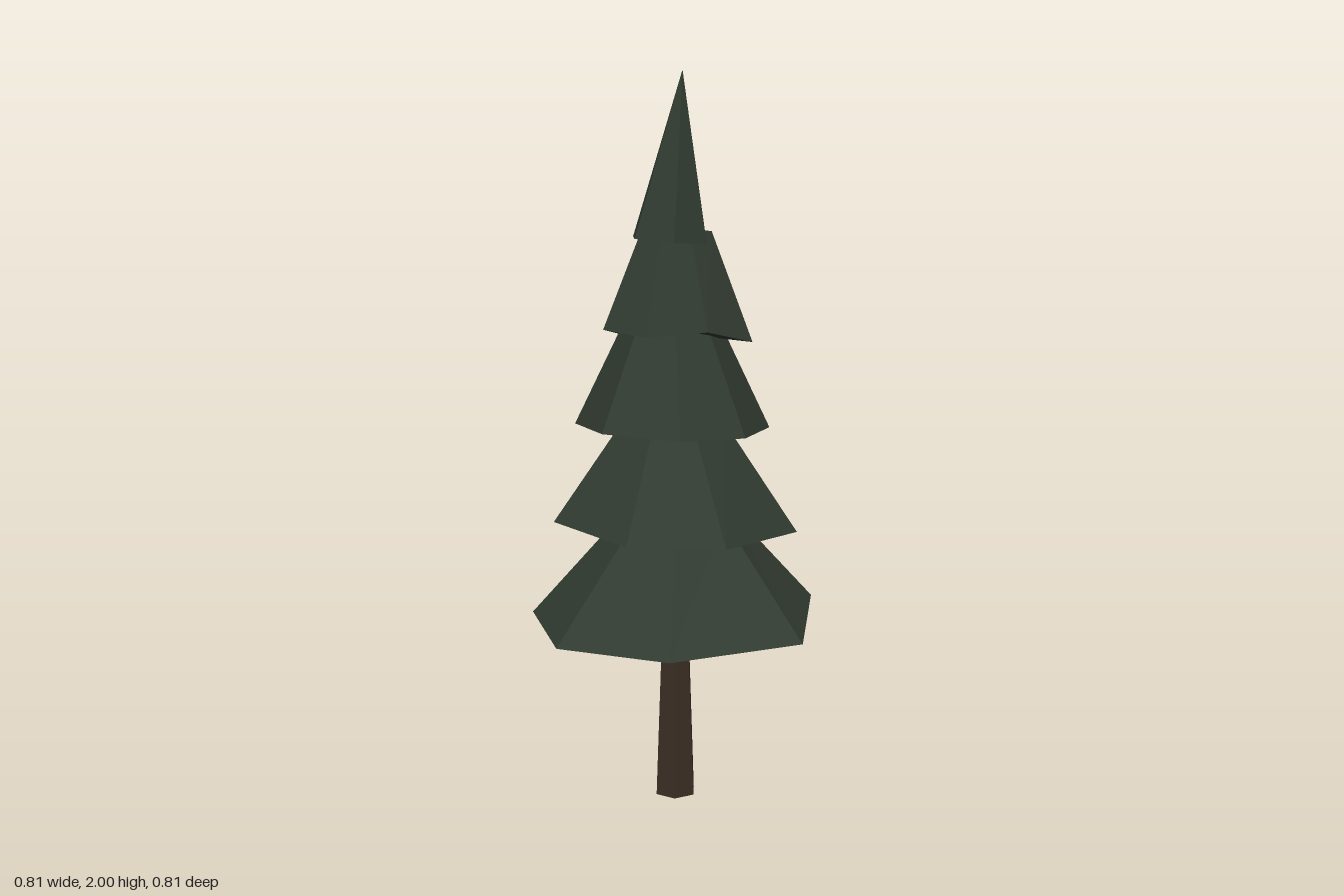
import * as THREE from 'three';

// Foliage tiers, bottom to top: seven hem corners [x, y, z] running clockwise from the back,
// and the crown they taper to: centre [x, y, z] and scale of the hem (0 = pointed tip).
const TIERS = [
  { hem: [[0, 0.515, -0.405], [0.33, 0.505, -0.25], [0.405, 0.54, 0.095], [0.18, 0.508, 0.40],
      [-0.20, 0.505, 0.37], [-0.405, 0.505, 0.125], [-0.33, 0.51, -0.215]],
    top: [0.02, 0.8, 0], scale: 0.38 },
  { hem: [[-0.14, 0.785, -0.28], [0.16, 0.785, -0.285], [0.325, 0.785, -0.05], [0.26, 0.77, 0.24],
      [-0.025, 0.775, 0.35], [-0.25, 0.78, 0.225], [-0.32, 0.795, -0.08]],
    top: [0, 1.06, 0.01], scale: 0.43 },
  { hem: [[0.005, 1.03, -0.25], [0.22, 1.035, -0.13], [0.255, 1.04, 0.10], [0.095, 1.04, 0.24],
      [-0.10, 1.045, 0.24], [-0.25, 1.055, 0.085], [-0.22, 1.05, -0.155]],
    top: [0, 1.325, 0.01], scale: 0.5 },
  { hem: [[-0.09, 1.295, -0.15], [0.075, 1.295, -0.155], [0.185, 1.31, -0.025], [0.165, 1.285, 0.155],
      [0.005, 1.32, 0.195], [-0.135, 1.305, 0.115], [-0.20, 1.32, -0.01]],
    top: [0, 1.58, 0.02], scale: 0.47 },
  { hem: [[-0.01, 1.58, -0.09], [0.085, 1.55, -0.025], [0.09, 1.545, 0.035], [0.045, 1.545, 0.115],
      [-0.06, 1.55, 0.13], [-0.13, 1.56, 0.04], [-0.09, 1.565, -0.05]],
    top: [0.015, 2, 0.035], scale: 0 },
];

// Faceted skirt with a closed underside
function tierGeometry({ hem, top, scale }) {
  const n = hem.length;
  const centre = [0, 1, 2].map((k) => hem.reduce((sum, p) => sum + p[k], 0) / n);
  const crown = hem.map((p) => [
    top[0] + (p[0] - centre[0]) * scale, top[1], top[2] + (p[2] - centre[2]) * scale]);
  const pos = [];
  for (let i = 0; i < n; i++) {
    const j = (i + 1) % n;
    pos.push(...hem[j], ...hem[i], ...crown[i]);
    if (scale > 0) {
      pos.push(...hem[j], ...crown[i], ...crown[j]);
      pos.push(...top, ...crown[j], ...crown[i]);
    }
    pos.push(...centre, ...hem[i], ...hem[j]);
  }
  const geo = new THREE.BufferGeometry();
  geo.setAttribute('position', new THREE.Float32BufferAttribute(pos, 3));
  geo.computeVertexNormals();
  return geo;
}

export function createModel() {
  const needles = new THREE.MeshStandardMaterial({ color: 0x313b31, flatShading: true });
  needles.name = 'dark green needles';
  const bark = new THREE.MeshStandardMaterial({ color: 0x3a2e23, flatShading: true });
  bark.name = 'brown bark';

  const tree = new THREE.Group();
  tree.name = 'pineTree';

  // Tapered hexagonal trunk, ending inside the lowest tier
  const trunk = new THREE.Mesh(new THREE.CylinderGeometry(0.04, 0.06, 0.53, 6), bark);
  trunk.name = 'trunk';
  trunk.rotation.y = Math.PI / 6;
  trunk.position.set(0, 0.265, 0.025);
  tree.add(trunk);

  // Stacked foliage
  TIERS.forEach((tier, i) => {
    const mesh = new THREE.Mesh(tierGeometry(tier), needles);
    mesh.name = `foliageTier${i + 1}`;
    tree.add(mesh);
  });
  return tree;
}
